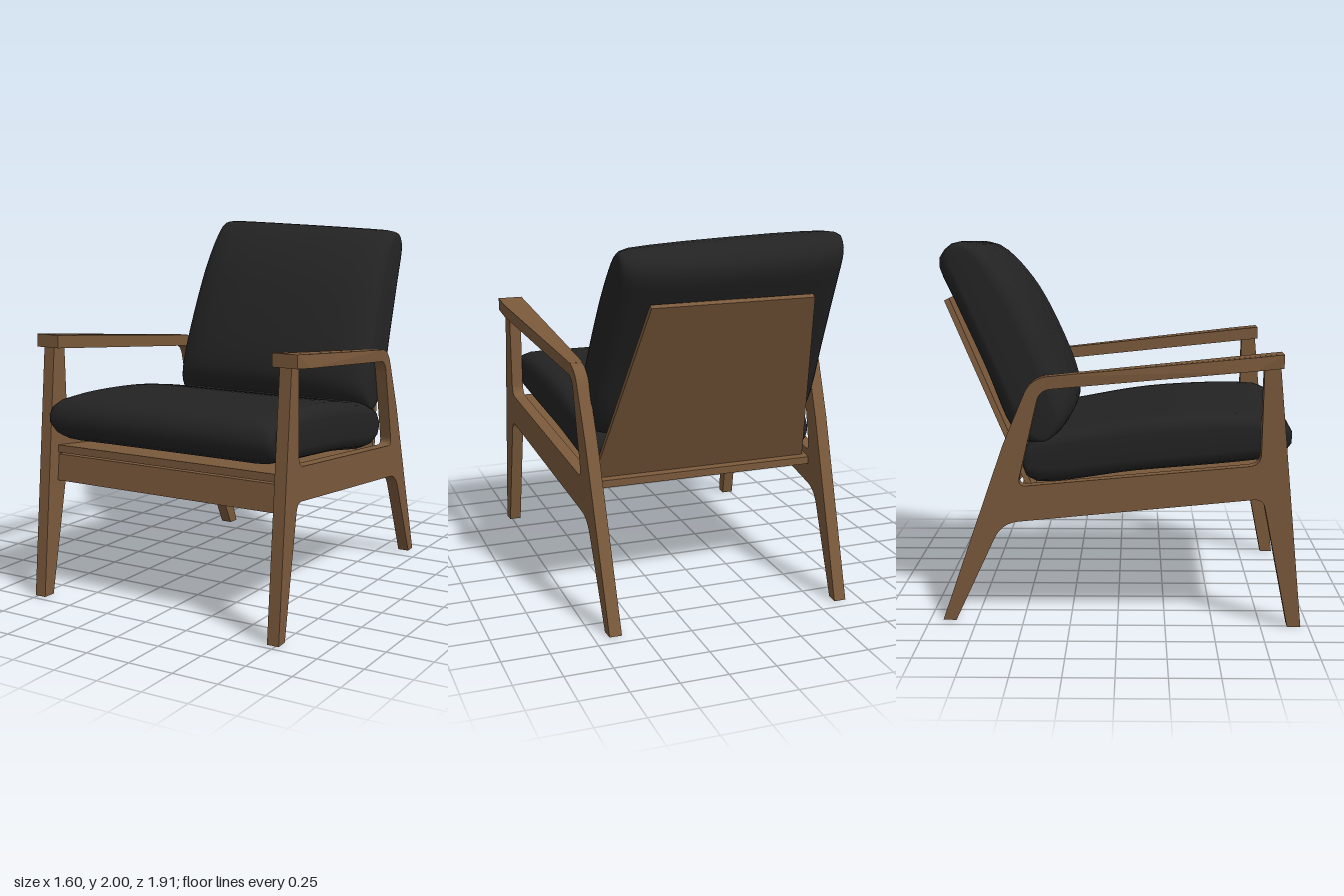
import * as THREE from 'three';

const wood = new THREE.MeshStandardMaterial({ color: 0x7a593b });
wood.name = 'walnut wood';
const fabric = new THREE.MeshStandardMaterial({ color: 0x232323 });
fabric.name = 'black fabric';

const lerp = THREE.MathUtils.lerp;
const ramp = (v, a, b, from, to) => lerp(from, to, THREE.MathUtils.clamp((v - a) / (b - a), 0, 1));

// Closed path through [z, y, radius?] corners, rounding those with a radius
function trace(path, corners) {
  const n = corners.length;
  const P = corners.map(([z, y]) => new THREE.Vector2(z, y));
  corners.forEach(([, , r = 0], i) => {
    const toward = (q) => P[i].clone().add(q.clone().sub(P[i]).setLength(r));
    const a = r ? toward(P[(i + n - 1) % n]) : P[i];
    if (i === 0) path.moveTo(a.x, a.y);
    else path.lineTo(a.x, a.y);
    if (r) {
      const b = toward(P[(i + 1) % n]);
      path.quadraticCurveTo(P[i].x, P[i].y, b.x, b.y);
    }
  });
  path.closePath();
  return path;
}

// Side profile stretched in x between two surfaces x0(z, y) and x1(z, y)
function prism(name, corners, x0, x1, side = 1, hole = null) {
  const shape = trace(new THREE.Shape(), corners);
  if (hole) shape.holes.push(trace(new THREE.Path(), hole));
  const geo = new THREE.ExtrudeGeometry(shape, { depth: 1, bevelEnabled: false, curveSegments: 7 });
  const p = geo.attributes.position;
  const pts = [];
  for (let i = 0; i < p.count; i++) {
    const z = p.getX(i), y = p.getY(i);
    pts.push(new THREE.Vector3(side * lerp(x0(z, y), x1(z, y), p.getZ(i)), y, z));
  }
  // swapping x and z turns the faces over, mirroring turns them back
  if (side > 0) for (let i = 0; i < pts.length; i += 3) [pts[i + 1], pts[i + 2]] = [pts[i + 2], pts[i + 1]];
  const out = new THREE.BufferGeometry().setFromPoints(pts);
  out.computeVertexNormals();
  const mesh = new THREE.Mesh(out, wood);
  mesh.name = name;
  return mesh;
}

// Soft cushion: a side profile lofted across x.
// stations: [fraction of half width, thickness scale, length scale]
function cushion(name, profile, centre, angle, stations, warp) {
  const N = 48;
  const curve = new THREE.CatmullRomCurve3(profile.map(([z, y]) => new THREE.Vector3(0, y, z)), true, 'centripetal');
  const ring = curve.getSpacedPoints(N).slice(0, N);
  const c = Math.cos(angle), s = Math.sin(angle);
  const rows = [...stations.slice(1).reverse().map(([u, t, l]) => [-u, t, l]), ...stations];
  const pts = [], index = [];
  rows.forEach(([u, kt, kl], r) => {
    ring.forEach((q, i) => {
      const dz = q.z - centre[0], dy = q.y - centre[1];
      const along = (dz * c + dy * s) * kl, across = (dy * c - dz * s) * kt;
      pts.push(warp(u, centre[1] + along * s + across * c, centre[0] + along * c - across * s));
      if (r > 0) {
        const j = (i + 1) % N, a = (r - 1) * N, b = r * N;
        index.push(a + i, a + j, b + i, b + i, a + j, b + j);
      }
    });
  });
  // make the faces point outward whichever way the profile runs
  const area = ring.reduce((sum, q, i) => sum + q.z * ring[(i + 1) % N].y - ring[(i + 1) % N].z * q.y, 0);
  if (area > 0) index.reverse();
  const geo = new THREE.BufferGeometry().setFromPoints(pts);
  geo.setIndex(index);
  geo.computeVertexNormals();
  const mesh = new THREE.Mesh(geo, fabric);
  mesh.name = name;
  return mesh;
}

export function createModel() {
  const chair = new THREE.Group();
  chair.name = 'loungeChair';

  // Side frames: legs, side rail and back post in one piece, converging to the rear
  const inner = (z) => 0.605 + (z + 0.93) * 0.051;
  const outer = (z) => inner(z) + 0.066;
  const frame = [
    [0.96, 0], [0.83, 1.4], [0.82, 1.438], [-0.45, 1.305, 0.09], [-0.6, 0.95], [-0.93, 0],
    [-0.86, 0], [-0.61, 0.535, 0.09], [0.755, 0.685, 0.05], [0.89, 0],
  ];
  const opening = [[0.75, 1.36], [-0.405, 1.242, 0.06], [-0.525, 0.732, 0.05], [0.74, 0.862, 0.06]];

  // Armrests: broad at the front, narrowing into the back post
  const arm = [[0.845, 1.44], [0.7, 1.425], [-0.38, 1.312], [-0.38, 1.245], [0.7, 1.355], [0.845, 1.37]];
  const armIn = (z) => ramp(z, -0.38, 0.84, 0.628, 0.658);
  const armOut = (z) => ramp(z, -0.38, 0.7, 0.699, 0.798);

  for (const side of [1, -1]) {
    const tag = side > 0 ? 'left' : 'right';
    chair.add(prism(tag + 'SideFrame', frame, inner, outer, side, opening));
    chair.add(prism(tag + 'Armrest', arm, armIn, armOut, side));
  }

  // Front rail, seat board and back board between the frames
  const fit = (z) => inner(z) + 0.005;
  const across = (name, corners, w) => chair.add(prism(name, corners, (z, y) => -w(z, y), w));
  across('frontRail', [[0.83, 0.635], [0.815, 0.78], [0.775, 0.78], [0.775, 0.635]], fit);
  across('seatBoard', [[0.82, 0.79], [0.82, 0.832], [-0.52, 0.695], [-0.52, 0.655]], fit);
  across('backBoard', [[-0.46, 0.665], [-0.925, 1.685], [-0.898, 1.698], [-0.432, 0.675]],
    (z, y) => ramp(y, 0.66, 1.69, 0.615, 0.435));

  // Seat cushion
  chair.add(cushion('seatCushion', [
    [0.91, 1.02], [0.87, 1.085], [0.75, 1.108], [0.2, 1.093], [-0.2, 1.03], [-0.43, 0.98], [-0.49, 0.92],
    [-0.5, 0.79], [-0.45, 0.738], [0.1, 0.797], [0.7, 0.858], [0.85, 0.885], [0.908, 0.95],
  ], [0.2, 0.94], 0.1, [
    [0, 1, 0.99], [0.5, 1, 0.992], [0.8, 1, 1], [0.9, 0.97, 1], [0.96, 0.85, 0.995],
    [0.99, 0.66, 0.985], [1, 0.45, 0.97], [1, 0, 0.9],
  ], (u, y, z) => new THREE.Vector3(u * ramp(z, -0.5, 0.9, 0.63, 0.69), y, z)));

  // Back cushion, slumped a little toward its left top corner
  chair.add(cushion('backCushion', [
    [-0.23, 1.1], [-0.235, 1.2], [-0.3, 1.4], [-0.47, 1.75], [-0.62, 1.93], [-0.71, 1.99], [-0.8, 2.0],
    [-0.88, 1.975], [-0.95, 1.9], [-0.955, 1.85], [-0.88, 1.68], [-0.72, 1.32], [-0.6, 1.02],
    [-0.54, 0.95], [-0.42, 0.935], [-0.32, 0.985],
  ], [-0.6, 1.46], Math.PI - 1.13, [
    [0, 1, 1], [0.4, 0.98, 1], [0.7, 0.91, 1], [0.88, 0.8, 1], [0.96, 0.66, 0.99],
    [0.99, 0.52, 0.975], [1, 0.4, 0.96], [1, 0, 0.9],
  ], (u, y, z) => {
    const top = ramp(y, 1.2, 2, 0, 1);
    return new THREE.Vector3(u * lerp(0.63, 0.592, top) - 0.018 * top, y - 0.02 * top * (u + 0.7), z);
  }));

  return chair;
}
